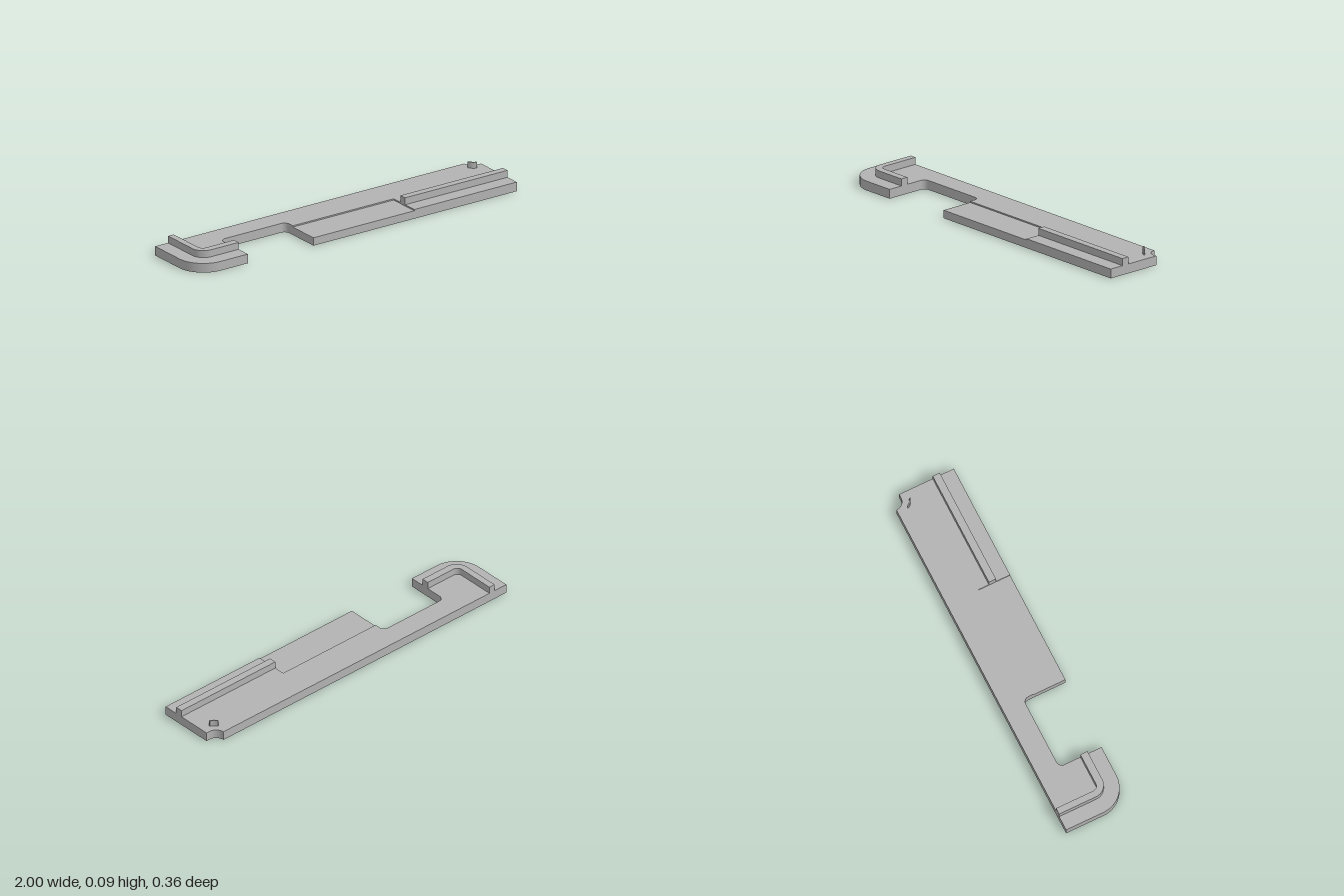
import * as THREE from 'three';

const PI = Math.PI;
const TOP = 0.05;      // main deck height
const POCKET = 0.043;  // floor of the shallow front pocket

// Plan outline of the plate; shape y is -z
function plateOutline(withPocket) {
  const s = new THREE.Shape();
  s.moveTo(-1, 0.18);
  s.lineTo(-1, -0.03);
  s.absarc(-0.85, -0.03, 0.15, PI, 1.5 * PI, false);   // rounded front corner
  s.lineTo(-0.68, -0.18);
  s.absarc(-0.65, 0.03, 0.03, PI, PI / 2, true);       // notch
  s.absarc(-0.3, 0.03, 0.03, PI / 2, 0, true);
  if (withPocket) {
    s.lineTo(-0.27, 0);
    s.lineTo(0.36, 0);
    s.lineTo(0.36, -0.18);
  } else {
    s.lineTo(-0.27, -0.18);
  }
  s.lineTo(1, -0.18);
  s.lineTo(1, 0.13);
  s.absarc(0.98, 0.18, 0.05, -PI / 2, -PI, true);      // concave back corner
  s.closePath();
  return s;
}

// L-shaped rib with a rounded bend
function ribOutline() {
  const s = new THREE.Shape();
  s.moveTo(-0.92, 0.18);
  s.lineTo(-0.92, -0.03);
  s.absarc(-0.85, -0.03, 0.07, PI, 1.5 * PI, false);
  s.lineTo(-0.68, -0.1);
  s.lineTo(-0.68, -0.06);
  s.absarc(-0.855, -0.03, 0.03, 1.5 * PI, PI, true);
  s.lineTo(-0.885, 0.18);
  s.closePath();
  return s;
}

// Straight rail along the front
function railOutline() {
  return new THREE.Shape([[0.36, -0.1], [1, -0.1], [1, -0.06], [0.36, -0.06]]
    .map(([x, y]) => new THREE.Vector2(x, y)));
}

// Small crescent tab beside the concave corner
function tabOutline() {
  const s = new THREE.Shape();
  s.moveTo(0.912, 0.124);
  s.quadraticCurveTo(0.921, 0.1, 0.948, 0.092);
  s.lineTo(0.948, 0.099);
  s.quadraticCurveTo(0.93, 0.104, 0.918, 0.124);
  s.closePath();
  return s;
}

export function createModel() {
  const group = new THREE.Group();
  const grey = new THREE.MeshStandardMaterial({ color: 0xb2b2b2 });
  grey.name = 'grey';

  function slab(name, shape, y0, y1) {
    const geo = new THREE.ExtrudeGeometry(shape, { depth: y1 - y0, bevelEnabled: false, curveSegments: 20 });
    geo.rotateX(-PI / 2);
    geo.translate(0, y0, 0);
    const mesh = new THREE.Mesh(geo, grey);
    mesh.name = name;
    group.add(mesh);
  }

  slab('basePlate', plateOutline(false), 0, POCKET);
  slab('raisedDeck', plateOutline(true), POCKET, TOP);
  slab('cornerRib', ribOutline(), TOP, 0.088);
  slab('frontRail', railOutline(), TOP, 0.088);
  slab('cornerTab', tabOutline(), TOP, 0.083);
  return group;
}
